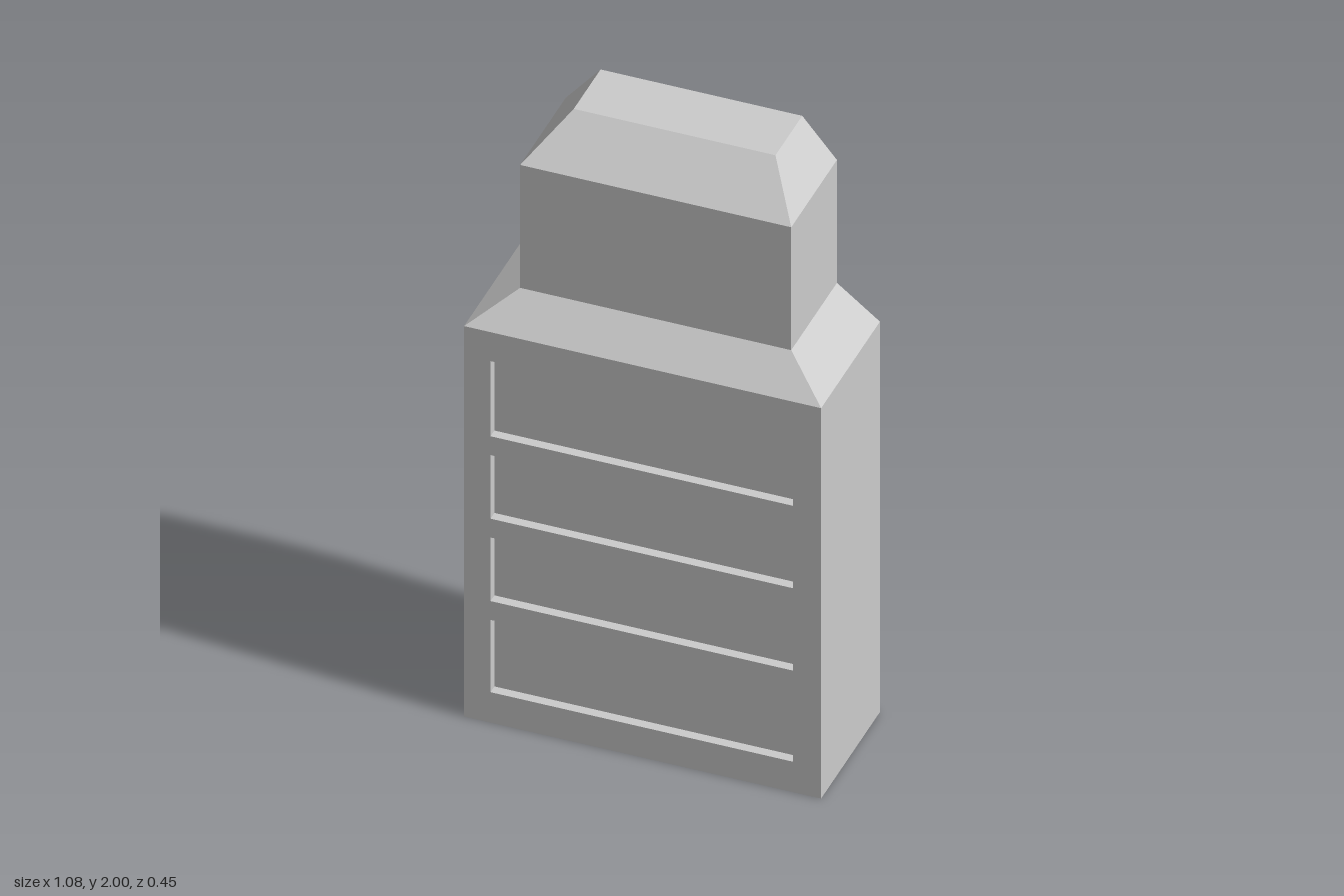
import * as THREE from 'three';

const material = new THREE.MeshStandardMaterial({ color: 0xcccccc, flatShading: true });
const BACK = -0.225, FRONT = 0.225, RECESS = 0.195;

// Each section is [y, halfWidth, frontZ]; every section reaches back to BACK
const outer = [
  [0, 0.54, RECESS], [1.35, 0.54, RECESS], [1.35, 0.54, FRONT],
  [1.45, 0.41, 0.125], [1.875, 0.41, 0.125], [2, 0.305, -0.02],
];
const inner = [
  [0.1, 0.492, 0.186], [1.32, 0.492, 0.186],
  [1.41, 0.372, 0.06], [1.8, 0.372, 0.06], [1.92, 0.272, 0.06],
];

function addMesh(parent, name, geometry) {
  const mesh = new THREE.Mesh(geometry, material);
  mesh.name = name;
  parent.add(mesh);
  return mesh;
}

// Loft of three-sided sections, open at the back, with floor and roof caps
function loft(sections, inward) {
  const positions = [];
  const quad = (a, b, c, d) => {
    const order = inward ? [a, c, b, a, d, c] : [a, b, c, a, c, d];
    order.forEach((p) => positions.push(...p));
  };
  const rings = sections.map(([y, w, z]) => [[-w, y, BACK], [-w, y, z], [w, y, z], [w, y, BACK]]);
  for (let i = 0; i < rings.length - 1; i++) {
    const low = rings[i], high = rings[i + 1];
    for (let j = 0; j < 3; j++) {
      // The step behind the front frame has no side faces
      if (sections[i][0] === sections[i + 1][0] && j !== 1) continue;
      quad(low[j], low[j + 1], high[j + 1], high[j]);
    }
  }
  const first = rings[0], last = rings[rings.length - 1];
  quad(first[0], first[3], first[2], first[1]);
  quad(last[0], last[1], last[2], last[3]);
  const geometry = new THREE.BufferGeometry();
  geometry.setAttribute('position', new THREE.Float32BufferAttribute(positions, 3));
  geometry.computeVertexNormals();
  return geometry;
}

// Mirrored silhouette of a section list
function outline(sections) {
  const right = sections.map(([y, w]) => new THREE.Vector2(w, y));
  const left = sections.map(([y, w]) => new THREE.Vector2(-w, y)).reverse();
  return [...right, ...left];
}

function rectangle(x0, x1, y0, y1) {
  return [[x0, y0], [x1, y0], [x1, y1], [x0, y1]].map(([x, y]) => new THREE.Vector2(x, y));
}

export function createModel() {
  const model = new THREE.Group();
  model.name = 'hollowTower';

  addMesh(model, 'outerShell', loft(outer, false));
  addMesh(model, 'innerShell', loft(inner, true));

  // Flat rim around the open back
  const rimOuter = outer.filter((s, i) => i !== 2);
  const rimShape = new THREE.Shape(outline(rimOuter));
  rimShape.holes.push(new THREE.Path(outline(inner)));
  const rim = new THREE.ShapeGeometry(rimShape);
  rim.rotateY(Math.PI);
  addMesh(model, 'backRim', rim).position.z = BACK;

  // Front frame with four recessed panels
  const frame = new THREE.Shape(rectangle(-0.54, 0.54, 0, 1.35));
  for (const [y0, y1] of [[0.105, 0.355], [0.42, 0.64], [0.705, 0.925], [0.99, 1.25]]) {
    frame.holes.push(new THREE.Path(rectangle(-0.46, 0.455, y0, y1)));
  }
  const frameGeometry = new THREE.ExtrudeGeometry(frame, { depth: FRONT - RECESS, bevelEnabled: false });
  addMesh(model, 'frontFrame', frameGeometry).position.z = RECESS;

  // Tapered four-sided pegs standing on the inner walls
  const pegs = new THREE.Group();
  pegs.name = 'innerPegs';
  model.add(pegs);
  const pegLength = 0.135;
  const peg = new THREE.CylinderGeometry(0.0125 * Math.SQRT2, 0.04 * Math.SQRT2, pegLength, 4);
  peg.rotateY(Math.PI / 4).translate(0, pegLength / 2, 0);

  const frontPeg = (x, y, z) => {
    const mesh = addMesh(pegs, 'frontWallPeg', peg);
    mesh.position.set(x, y, z);
    mesh.rotation.x = -Math.PI / 2;
  };
  for (const y of [0.27, 0.575, 0.88, 1.16]) {
    for (const x of [-0.27, 0, 0.27]) frontPeg(x, y, 0.186);
  }
  for (const x of [-0.135, 0.135]) frontPeg(x, 1.64, 0.06);

  for (const side of [-1, 1]) {
    for (const y of [0.41, 0.715, 1.02]) {
      const mesh = addMesh(pegs, 'sideWallPeg', peg);
      mesh.position.set(side * 0.492, y, -0.06);
      mesh.rotation.z = side * Math.PI / 2;
    }
  }
  return model;
}
